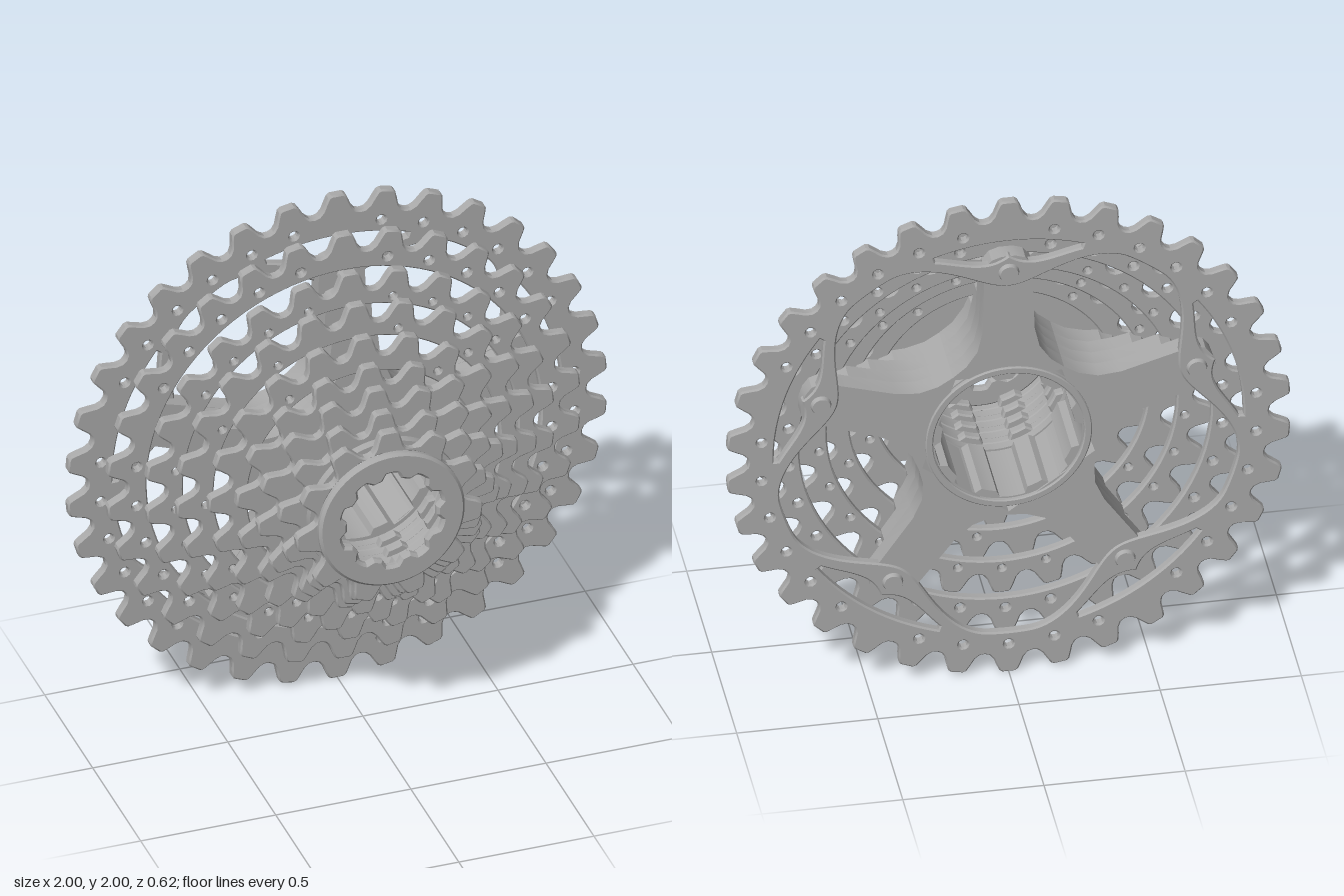
import * as THREE from 'three';
import { toCreasedNormals } from 'three/addons/utils/BufferGeometryUtils.js';

const TAU = Math.PI * 2;
const ARMS = 5;
const at = (r, a) => new THREE.Vector2(r * Math.cos(a), r * Math.sin(a));

// closed loop of points from a radius rule r(angle)
const polar = (n, rule) => Array.from({ length: n }, (_, i) => at(rule((i / n) * TAU), (i / n) * TAU));
const circle = (r, n = 64) => polar(n, () => r);

// extrude an outline with holes, centred on z with the given thickness
function plate(outer, holes, z, thick, bevel = 0.006) {
  const shape = new THREE.Shape(outer);
  shape.holes = holes.map((h) => new THREE.Path(h));
  const geo = new THREE.ExtrudeGeometry(shape, {
    depth: thick - 2 * bevel, bevelEnabled: bevel > 0, bevelThickness: bevel,
    bevelSize: bevel, bevelOffset: -bevel, bevelSegments: 1, curveSegments: 8,
  });
  geo.translate(0, 0, z - thick / 2 + bevel);
  return toCreasedNormals(geo, 0.5);
}

// toothed outline: rounded valleys, blunt tips, one tooth pointing up
function toothOutline(teeth, tip) {
  const profile = [[-0.5, 0.078], [-0.4, 0.074], [-0.31, 0.058], [-0.24, 0.03], [-0.18, 0.007],
    [-0.12, 0], [0.12, 0], [0.18, 0.007], [0.24, 0.03], [0.31, 0.058], [0.4, 0.074]];
  const pts = [];
  for (let i = 0; i < teeth; i++) {
    for (const [u, drop] of profile) pts.push(at(tip - drop, Math.PI / 2 + ((i + u) / teeth) * TAU));
  }
  return pts;
}

// distance in radians to the nearest arm direction
function armOffset(a) {
  const step = TAU / ARMS;
  const d = (((a - Math.PI / 2) % step) + step) % step;
  return Math.min(d, step - d);
}

// inner edge of the largest ring, dipping to a tab at each arm
const tabNear = (a) => Math.max(0, 1 - armOffset(a) / 0.54);
function tabEdge(a) {
  const t = tabNear(a);
  return 0.83 - 0.19 * t * t * (3 - 2 * t);
}

// crescent window between a tab and the ring
function crescent(centre) {
  const low = [], high = [];
  for (let i = -24; i <= 24; i++) {
    const a = centre + i * 0.018;
    const r = tabEdge(a) + 0.05 + 0.08 * tabNear(a) ** 4;
    if (r < 0.818) {
      low.push(at(r, a));
      high.unshift(at(0.832, a));
    }
  }
  return low.concat(high);
}

// bore outline with spline ridges
const splinedBore = () => polar(108, (a) => (((a / TAU) * 9) % 1 < 0.4 ? 0.238 : 0.262));

// plan outline of an arm pointing up, flared at the hub
function armOutline(reach) {
  const side = [[0.21, 0.26], [0.15, 0.31], [0.11, 0.37], [0.092, Math.min(0.45, reach - 0.05)],
    [0.085, reach - 0.045], [0.06, reach - 0.012], [0.025, reach]];
  const right = side.map(([x, y]) => new THREE.Vector2(x, y));
  const left = side.map(([x, y]) => new THREE.Vector2(-x, y)).reverse();
  return right.concat(left);
}

export function createModel() {
  const steel = new THREE.MeshStandardMaterial({ color: 0xaaaaaa });
  steel.name = 'steel grey';
  const model = new THREE.Group();
  model.name = 'sprocketCassette';
  const wheel = new THREE.Group();
  wheel.name = 'wheelStack';
  wheel.position.y = 1;
  model.add(wheel);
  const add = (name, geo) => {
    const mesh = new THREE.Mesh(geo, steel);
    mesh.name = name;
    wheel.add(mesh);
    return mesh;
  };

  // sprockets from back to front: teeth, tip radius, z, inner radius (0 = splined bore)
  const sprockets = [
    [34, 1.0, -0.28, 0.83], [30, 0.877, -0.211, 0.73], [26, 0.757, -0.143, 0.62],
    [23, 0.667, -0.076, 0.53], [20, 0.572, -0.008, 0.43], [17, 0.495, 0.06, 0],
    [15, 0.44, 0.128, 0], [13, 0.385, 0.196, 0], [11, 0.347, 0.264, 0],
  ];
  sprockets.forEach(([teeth, tip, z, inner], index) => {
    const holes = [];
    if (index === 0) {
      holes.push(polar(240, tabEdge));
      for (let k = 0; k < ARMS; k++) holes.push(crescent(Math.PI / 2 + (k / ARMS) * TAU));
    } else {
      holes.push(inner ? circle(inner, 96) : splinedBore());
    }
    // drilled hole below each tooth, leaving solid metal at the arms
    if (index < 5) {
      for (let i = 0; i < teeth; i++) {
        const a = Math.PI / 2 + (i / teeth) * TAU;
        if (armOffset(a) < 0.08 || (index > 2 && i % 2)) continue;
        const c = at(tip - (index === 0 ? 0.12 : 0.105), a);
        holes.push(circle(index < 2 ? 0.016 : 0.012, 10).map((p) => p.add(c)));
      }
    }
    add(`sprocket${teeth}`, plate(toothOutline(teeth, tip), holes, z, 0.036));
  });

  // stepped spider arms: every layer reaches the ring in front of it
  const layers = [[-0.292, -0.218, 0.765], [-0.218, -0.15, 0.655], [-0.15, -0.083, 0.56], [-0.083, -0.012, 0.465]];
  for (let k = 0; k < ARMS; k++) {
    const angle = (k / ARMS) * TAU;
    for (const [back, front, reach] of layers) {
      const arm = add('spiderArm', plate(armOutline(reach), [], (back + front) / 2, front - back, 0));
      arm.rotation.z = angle;
    }
    // rivet head on the back, with a smaller end showing on the front
    const c = at(0.7, Math.PI / 2 + angle);
    const head = add('rivetHead', new THREE.CylinderGeometry(0.042, 0.032, 0.03, 20).rotateX(Math.PI / 2));
    head.position.set(c.x, c.y, -0.299);
    const end = add('rivetEnd', new THREE.CylinderGeometry(0.02, 0.02, 0.03, 14).rotateX(Math.PI / 2));
    end.position.set(c.x, c.y, -0.21);
  }

  // hub tube with splines, and its rear rim
  add('hubTube', plate(circle(0.3), [splinedBore()], -0.145, 0.28, 0));
  add('hubRim', plate(circle(0.295), [circle(0.268)], -0.29, 0.02, 0.004));

  // spacers between the small sprockets
  for (const z of [0.026, 0.094, 0.162, 0.23]) {
    add('spacer', plate(circle(0.285), [circle(0.265)], z, 0.034, 0));
  }

  // lock ring with a notched opening
  const notches = polar(120, (a) => 0.178 + 0.013 * Math.tanh(3 * Math.cos(10 * (a - Math.PI / 2))));
  add('lockRing', plate(circle(0.27, 80), [notches], 0.294, 0.034, 0.01));
  return model;
}
